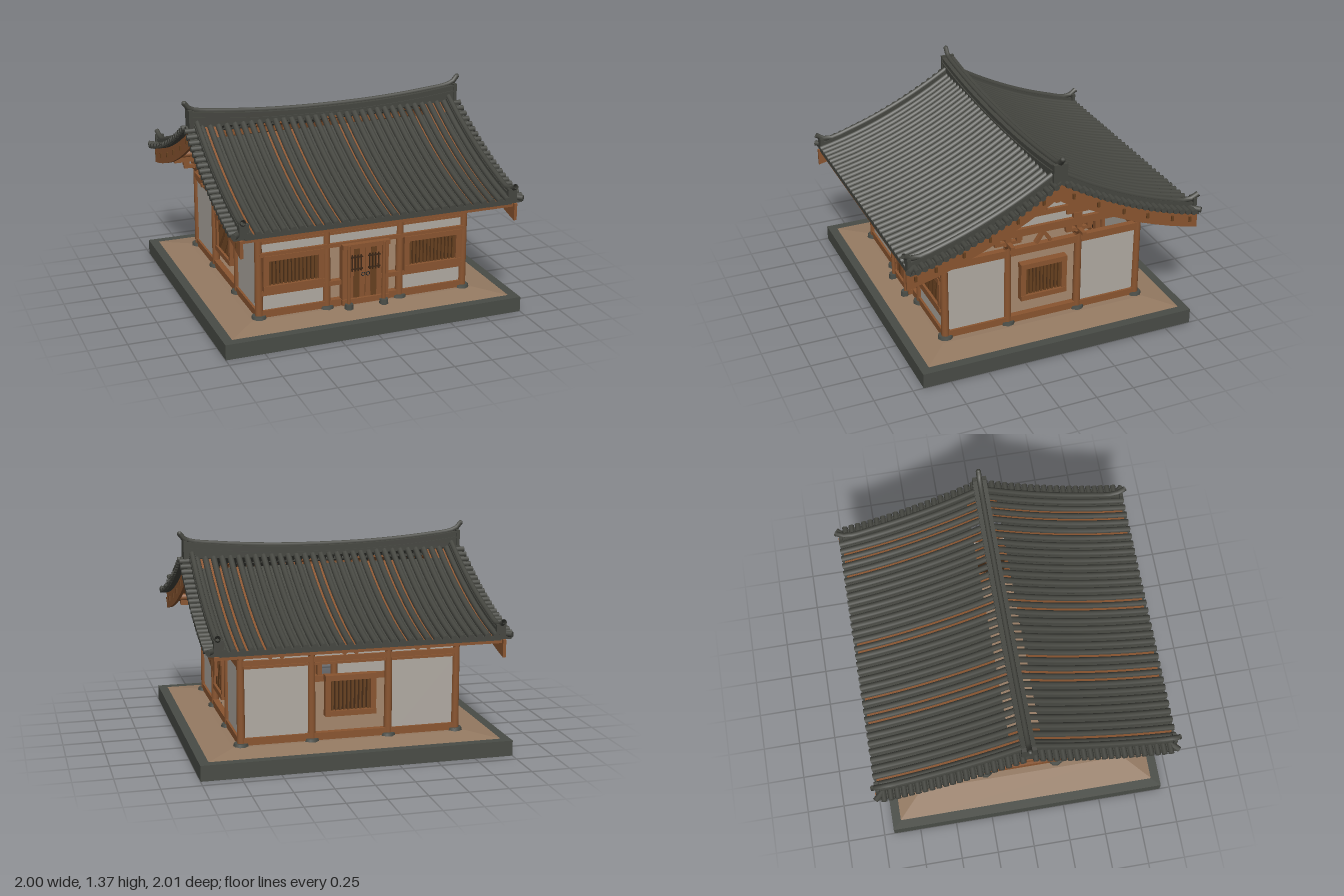
import * as THREE from 'three';

const mat = (name, color, side = THREE.FrontSide) => {
  const m = new THREE.MeshStandardMaterial({ color, side });
  m.name = name;
  return m;
};

export function createModel() {
  const wood = mat('wood', 0x8a5530);
  const darkWood = mat('dark wood', 0x67401f);
  const shade = mat('window recess', 0x3c2716);
  const tile = mat('roof tile', 0x454640, THREE.DoubleSide);
  const stone = mat('stone', 0x494c46);
  const plaster = mat('plaster', 0xb0aaa2, THREE.DoubleSide);
  const earth = mat('earth floor', 0x957a62, THREE.DoubleSide);
  const iron = mat('iron', 0x2a2a28);

  const root = new THREE.Group();
  root.name = 'hall';
  const group = (name, parent = root) => {
    const g = new THREE.Group();
    g.name = name;
    parent.add(g);
    return g;
  };
  const add = (parent, name, geo, m, x = 0, y = 0, z = 0) => {
    const mesh = new THREE.Mesh(geo, m);
    mesh.name = name;
    mesh.position.set(x, y, z);
    parent.add(mesh);
    return mesh;
  };
  // box given by its extents
  const box = (p, name, m, x0, x1, y0, y1, z0, z1) => add(p, name,
    new THREE.BoxGeometry(x1 - x0, y1 - y0, z1 - z0), m, (x0 + x1) / 2, (y0 + y1) / 2, (z0 + z1) / 2);
  const post = (p, name, m, r0, r1, x, y0, y1, z, n = 14) => add(p, name,
    new THREE.CylinderGeometry(r1, r0, y1 - y0, n), m, x, (y0 + y1) / 2, z);
  const rodX = (p, name, m, r, x0, x1, y, z, n = 10) => {
    const c = add(p, name, new THREE.CylinderGeometry(r, r, x1 - x0, n), m, (x0 + x1) / 2, y, z);
    c.rotation.z = Math.PI / 2;
    return c;
  };
  const tube = (p, name, m, pts, r, seg = 14, n = 6) => add(p, name,
    new THREE.TubeGeometry(new THREE.CatmullRomCurve3(pts.map(a => new THREE.Vector3(...a))), seg, r, n), m);

  // stone kerb and gently raised earth floor
  const kerb = new THREE.Shape([[-1, -.93], [1, -.93], [1, .93], [-1, .93]].map(a => new THREE.Vector2(...a)));
  kerb.holes.push(new THREE.Path([[-.94, -.87], [-.94, .87], [.94, .87], [.94, -.87]].map(a => new THREE.Vector2(...a))));
  add(root, 'stoneKerb', new THREE.ExtrudeGeometry(kerb, { depth: .1, bevelEnabled: false }).rotateX(-Math.PI / 2), stone);
  const floor = new THREE.CylinderGeometry(.76 * Math.SQRT2, .97 * Math.SQRT2, .026, 4).rotateY(Math.PI / 4).scale(1, 1, .93);
  add(root, 'earthFloor', floor.toNonIndexed(), earth, 0, .109, 0).geometry.computeVertexNormals();

  // columns, footing stones and brackets
  const columns = group('columns');
  const bracket = (p, x, z, turn) => {
    const b = group('bracket', p);
    b.position.set(x, 0, z);
    b.rotation.y = turn;
    post(b, 'bearingBlock', wood, .026, .042, 0, .675, .703, 0, 4).rotation.y = Math.PI / 4;
    box(b, 'bracketArm', wood, -.09, .09, .7, .722, -.014, .014);
    box(b, 'crossArm', wood, -.013, .013, .7, .722, -.09, .09);
    for (const u of [-.075, 0, .075]) box(b, 'smallBlock', wood, u - .02, u + .02, .722, .748, -.02, .02);
  };
  for (const x of [-.7, -.25, .25, .7]) for (const z of [-.67, -.245, .245, .67]) {
    if (Math.abs(x) < .5 && Math.abs(z) < .5) continue;
    post(columns, 'column', wood, .026, .023, x, .13, .68, z);
    post(columns, 'footingStone', stone, .062, .045, x, .075, .14, z, 9);
    bracket(columns, x, z, Math.abs(z) < .5 ? Math.PI / 2 : 0);
  }

  // lattice window centred on u
  const latticeWindow = (p, u, w, y0, y1) => {
    const g = group('latticeWindow', p), a = u - w / 2, b = u + w / 2, t = .035;
    box(g, 'frameTop', wood, a, b, y1 - t, y1, -.022, .03);
    box(g, 'frameBottom', wood, a, b, y0, y0 + t, -.022, .03);
    for (const s of [a, b - t]) box(g, 'frameSide', wood, s, s + t, y0, y1, -.02, .026);
    box(g, 'recess', shade, a + t, b - t, y0 + t, y1 - t, -.012, -.004);
    const n = Math.round((w - 2 * t) / .025);
    for (let i = 0; i < n; i++) {
      const c = a + t + (i + .5) * (w - 2 * t) / n;
      box(g, 'bar', darkWood, c - .008, c + .008, y0 + t, y1 - t, -.003, .014);
    }
  };
  // one wall, built facing +z, then turned into place
  const wall = (name, half, inner, dist, turn) => {
    const g = group(name);
    g.rotation.y = turn;
    const w = group('wallPlane', g);
    w.position.z = dist;
    box(w, 'tieBeam', wood, -half, half, .632, .665, -.02, .02);
    box(w, 'underBeam', wood, -half, half, .612, .628, -.014, .014);
    box(w, 'sill', wood, -half, half, .125, .172, -.02, .02);
    return w;
  };
  const outerBays = (w, half, inner, y0, y1) => {
    for (const s of [-1, 1]) box(w, 'plasterPanel', plaster,
      Math.min(s * inner, s * half), Math.max(s * inner, s * half), y0, y1, -.005, .005);
  };
  const frieze = w => {
    box(w, 'friezePanel', plaster, -.7, .7, .665, .76, -.006, .003);
    for (const u of [-.475, 0, .475]) for (const s of [-1, 1]) {
      const leg = box(w, 'splayStrut', wood, -.011, .011, -.035, .035, -.012, .012);
      leg.position.set(u + s * .022, .695, 0);
      leg.rotation.z = s * .65;
    }
    box(w, 'wallPlate', wood, -.86, .86, .748, .785, -.02, .02);
  };

  // front wall with door
  const front = wall('frontWall', .7, .25, .67, 0);
  frieze(front);
  box(front, 'upperRail', wood, -.7, .7, .53, .556, -.02, .024);
  box(front, 'lowerRail', wood, -.7, .7, .272, .302, -.018, .022);
  outerBays(front, .7, .25, .1, .272);
  box(front, 'transomPanel', plaster, -.7, .7, .55, .62, -.005, .005);
  for (const s of [-1, 1]) latticeWindow(front, s * .475, .4, .3, .535);
  const door = group('door', front);
  for (const s of [-1, 1]) {
    for (let i = 0; i < 3; i++) {
      const c = s * (.02 + i * .038);
      box(door, 'plank', i % 2 ? darkWood : wood, c - .018, c + .018, .16, .53, .012, .034);
    }
    for (let i = 0; i < 4; i++) {
      const c = s * (.03 + i * .02);
      box(door, 'gratingBar', shade, c - .004, c + .004, .355, .465, .034, .041);
    }
    for (const y of [.37, .45]) box(door, 'gratingRail', shade, s * .06 - .042, s * .06 + .042, y - .004, y + .004, .034, .043);
    box(door, 'jamb', wood, s * .142 - .016, s * .142 + .016, .14, .545, -.01, .042);
    post(door, 'doorPost', wood, .013, .013, s * .12, .145, .54, .055, 8);
    post(door, 'doorStone', stone, .036, .028, s * .12, .08, .148, .06, 8);
    add(door, 'handle', new THREE.TorusGeometry(.012, .003, 5, 12), iron, s * .016, .33, .042);
  }
  box(door, 'threshold', wood, -.16, .16, .135, .172, -.02, .05);
  box(door, 'lintel', wood, -.16, .16, .515, .545, 0, .06);

  // back and side walls
  const back = wall('backWall', .7, .25, .67, Math.PI);
  frieze(back);
  outerBays(back, .7, .25, .1, .62);
  latticeWindow(back, 0, .33, .275, .54);
  const gablePoints = [[-.5, .79], [.5, .79], [.2, .93], [0, 1.04], [-.2, .93]].map(a => new THREE.Vector2(...a));
  for (const s of [-1, 1]) {
    const side = wall(s > 0 ? 'leftWall' : 'rightWall', .67, .245, .7, s * Math.PI / 2);
    outerBays(side, .67, .245, .1, .62);
    latticeWindow(side, 0, .32, .275, .54);
    box(side, 'gableBeam', wood, -.64, .64, .748, .8, -.024, .024);
    add(side, 'gablePlaster', new THREE.ShapeGeometry(new THREE.Shape(gablePoints)), plaster);
    box(side, 'upperBeam', wood, -.27, .27, .865, .9, -.02, .02);
    post(side, 'kingPost', wood, .026, .014, 0, .9, 1.0, 0, 8);
    box(side, 'ridgeBlock', wood, -.03, .03, .99, 1.04, -.025, .025);
    for (const t of [-1, 1]) {
      const strut = box(side, 'gableStrut', wood, -.125, .125, -.011, .011, -.02, .02);
      strut.position.set(t * .1, .955, 0);
      strut.rotation.z = -t * .56;
      box(side, 'strutBlock', wood, t * .23 - .03, t * .23 + .03, .8, .835, -.024, .024);
      box(side, 'strutArm', wood, t * .23 - .075, t * .23 + .075, .832, .865, -.018, .018);
      box(side, 'purlinBlock', wood, t * .245 - .03, t * .245 + .03, .9, .965, -.024, .024);
      const foot = box(side, 'splayStrut', wood, -.012, .012, -.045, .045, -.014, .014);
      foot.position.set(t * .026, .705, 0);
      foot.rotation.z = t * .6;
    }
  }
  for (const x of [-.25, .25]) box(root, 'crossBeam', wood, x - .022, x + .022, .748, .8, -.67, .67);

  // roof: concave slope height at distance z from the ridge
  const h = z => 1.21 - .626 * z + .212 * z * z;
  const steps = (z0, z1, n = 10) => Array.from({ length: n + 1 }, (_, i) => z0 + (z1 - z0) * i / n);
  const roof = group('roof');
  // slab that follows the slope, between two offsets from it
  const strip = (p, name, m, s, x0, x1, z0, z1, bottom, top) => {
    const zs = steps(z0, z1);
    const pts = [...zs.map(z => new THREE.Vector2(s * z, h(z) + top)),
      ...zs.reverse().map(z => new THREE.Vector2(s * z, h(z) + bottom))];
    const geo = new THREE.ExtrudeGeometry(new THREE.Shape(pts), { depth: x1 - x0, bevelEnabled: false });
    return add(p, name, geo.rotateY(-Math.PI / 2), m, x1, 0, 0);
  };
  const rows = 32, pitch = 1.7 / (rows - 1);
  const bareGaps = [-.8, -.46, -.36, -.25, .04, .1, .63, .69, .79];
  for (const s of [1, -1]) {
    const slope = group(s > 0 ? 'frontSlope' : 'backSlope', roof);
    for (let i = 0; i < rows; i++) {
      const x = -.85 + i * pitch;
      tube(slope, 'coverTileRow', tile, steps(.01, .98, 6).map(z => [x, h(z) + .002, s * z]), .0205, 12, 8);
      add(slope, 'eaveTileEnd', new THREE.CircleGeometry(.0215, 10), tile, x, h(.98) + .002, s * .981);
      if (i < rows - 1) {
        const mid = x + pitch / 2;
        const bare = bareGaps.some(b => Math.abs(b - mid) <= pitch / 2);
        strip(slope, bare ? 'bareRafter' : 'channelTileRow', bare ? wood : tile, s,
          x + .004, x + pitch - .004, .1, .97, -.022, -.008);
      }
    }
    for (let i = 0; i < 29; i++) {
      const x = -.84 + i * .06;
      strip(slope, 'rafter', wood, s, x - .014, x + .014, .12, .945, -.062, -.023);
    }
    box(slope, 'eaveTileBand', tile, -.88, .88, .772, .8, s * .97 - .007, s * .97 + .007);
    box(slope, 'eaveBatten', wood, -.89, .89, .752, .774, s * .955 - .014, s * .955 + .014);
    for (const [z, y] of [[.245, .985], [.67, .8]]) rodX(slope, 'purlin', wood, .026, -.9, .9, y, s * z);

    // gable edges: bargeboard, verge tiles and descending ridge
    for (const e of [-1, 1]) {
      const edge = (name, m, a, b, z0, z1, lo, hi) =>
        strip(slope, name, m, s, Math.min(e * a, e * b), Math.max(e * a, e * b), z0, z1, lo, hi);
      edge('bargeboard', wood, .893, .913, 0, .985, -.135, -.025);
      edge('gableSoffit', wood, .72, .893, 0, .96, -.034, -.024);
      edge('vergeBed', tile, .86, .95, 0, .975, -.024, -.004);
      edge('descendingRidge', tile, .862, .902, .03, .96, -.01, .036);
      tube(slope, 'ridgeCap', tile, [...steps(.03, .9, 6).map(z => [e * .882, h(z) + .04, s * z]),
        [e * .886, .868, s * .96], [e * .892, .893, s * .995]], .018, 18, 8);
      box(slope, 'ridgeEndTile', tile, e * .882 - .03, e * .882 + .03, .785, .872, s * .965 - .012, s * .965 + .012);
      for (let i = 0; i < 21; i++) {
        const z = .04 + i * .0445;
        rodX(slope, 'vergeTile', tile, .019, Math.min(e * .895, e * .968), Math.max(e * .895, e * .968), h(z) - .004, s * z, 8);
      }
      const corner = rodX(slope, 'cornerTile', tile, .019, -.045, .045, h(.95), s * .955, 8);
      corner.position.x = e * .92;
      corner.rotation.set(0, -e * s * Math.PI / 4, Math.PI / 2);
      for (const z of [.1, .27, .45, .62, .8, .93]) box(slope, 'bargeboardPeg', darkWood,
        e * .916 - .008, e * .916 + .008, h(z) - .095, h(z) - .06, s * z - .008, s * z + .008);
    }
  }
  rodX(roof, 'ridgePurlin', wood, .03, -.9, .9, 1.07, 0);

  // main ridge, rising to upturned ends
  const rise = x => .058 * Math.pow(Math.abs(x) / .93, 2.2);
  const ridgeLayer = (name, halfWidth, len, lo, hi, k) => {
    const xs = steps(-len, len, 20);
    const pts = [...xs.map(x => new THREE.Vector2(x, lo + k * rise(x))),
      ...xs.reverse().map(x => new THREE.Vector2(x, hi + rise(x)))];
    const geo = new THREE.ExtrudeGeometry(new THREE.Shape(pts), { depth: 2 * halfWidth, bevelEnabled: false });
    add(roof, name, geo, tile, 0, 0, -halfWidth);
  };
  ridgeLayer('ridgeBase', .038, .925, 1.185, 1.245, .3);
  ridgeLayer('ridgeLowerCourse', .046, .93, 1.205, 1.215, 1);
  ridgeLayer('ridgeUpperCourse', .044, .93, 1.238, 1.25, 1);
  tube(roof, 'ridgeTopTile', tile, [[-.955, 1.358, 0], [-.925, 1.322, 0],
    ...steps(-.87, .87, 12).map(x => [x, 1.253 + rise(x), 0]), [.925, 1.322, 0], [.955, 1.358, 0]], .017, 48, 8);
  for (const e of [-1, 1]) {
    box(roof, 'ridgeEndTile', tile, e * .925 - .012, e * .925 + .012, 1.19, 1.315, -.046, .046);
    add(roof, 'ridgeHornTip', new THREE.SphereGeometry(.017, 8, 6), tile, e * .955, 1.357, 0);
  }
  return root;
}
